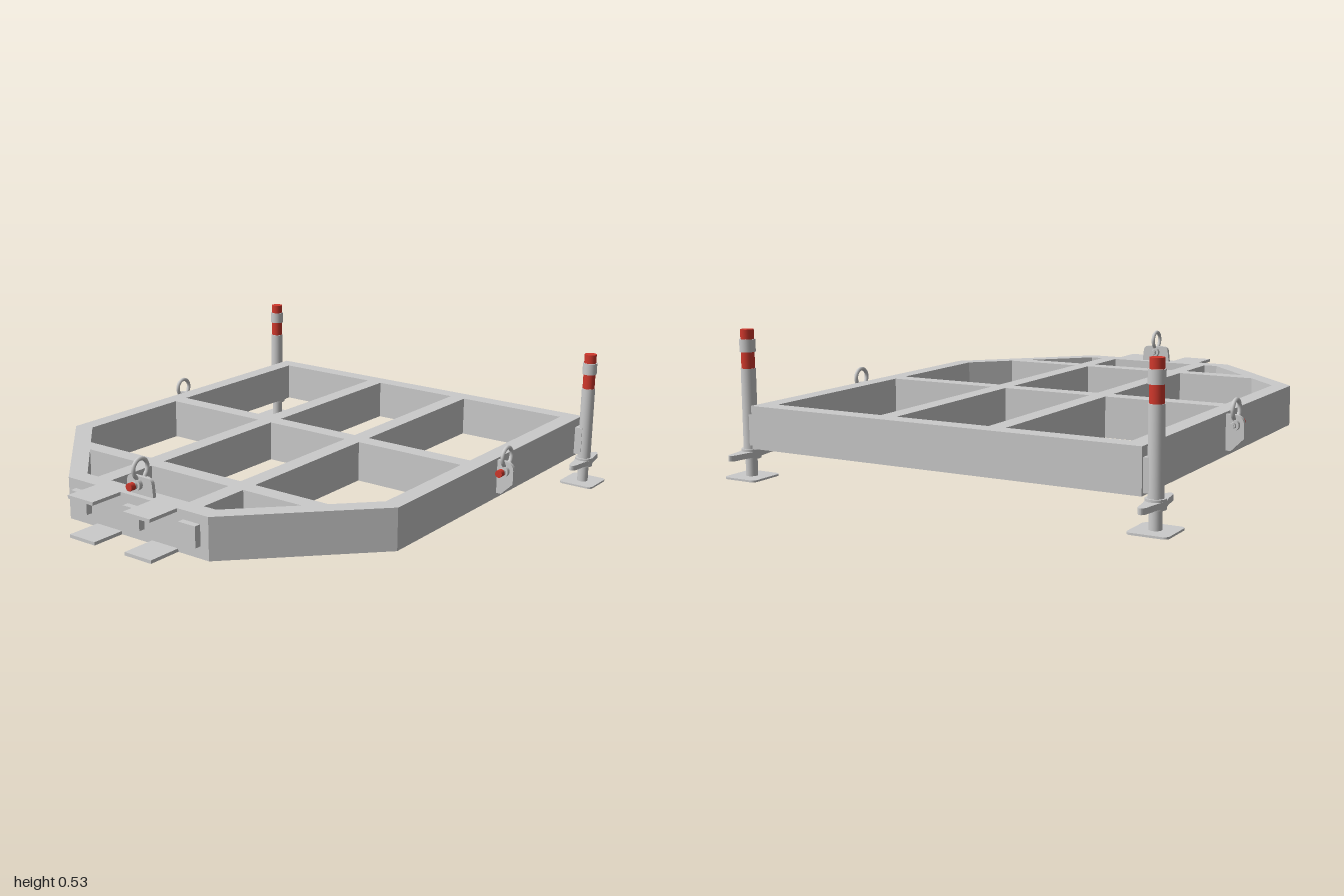
import * as THREE from 'three';

const grey = new THREE.MeshStandardMaterial({ color: 0xcccccc });
const red = new THREE.MeshStandardMaterial({ color: 0xd0382c });

function add(parent, name, geometry, x = 0, y = 0, z = 0, material = grey) {
  const mesh = new THREE.Mesh(geometry, material);
  mesh.name = name;
  mesh.position.set(x, y, z);
  parent.add(mesh);
  return mesh;
}

const cyl = (r, h, sides = 24) => new THREE.CylinderGeometry(r, r, h, sides);
const points = (list) => list.map(([x, y]) => new THREE.Vector2(x, y));

// Extrudes a plan shape (x, z) upwards from y = 0
function slab(shape, height) {
  const g = new THREE.ExtrudeGeometry(shape, { depth: height, bevelEnabled: false, curveSegments: 8 });
  return g.rotateX(Math.PI / 2).translate(0, height, 0);
}

function roundedSquare(s, r) {
  const shape = new THREE.Shape();
  shape.absarc(s - r, s - r, r, 0, Math.PI / 2);
  shape.absarc(r - s, s - r, r, Math.PI / 2, Math.PI);
  shape.absarc(r - s, r - s, r, Math.PI, Math.PI * 1.5);
  shape.absarc(s - r, r - s, r, Math.PI * 1.5, Math.PI * 2);
  return shape;
}

// Outer rails and cross members as one plate with nine openings
function frameGeometry() {
  const shape = new THREE.Shape(points([
    [-0.755, -0.918], [0.755, -0.918], [0.755, 0.425], [0.322, 0.87], [-0.322, 0.87], [-0.755, 0.425],
  ]));
  const hole = (list) => shape.holes.push(new THREE.Path(points(list)));
  for (const [z0, z1] of [[-0.852, -0.145], [-0.08, 0.538], [0.602, 0.803]]) {
    hole([[-0.18, z0], [-0.18, z1], [0.18, z1], [0.18, z0]]);
  }
  for (const s of [-1, 1]) {
    const cell = (list) => hole(list.map(([x, z]) => [s * x, z]));
    cell([[0.245, -0.852], [0.69, -0.852], [0.69, -0.145], [0.245, -0.145]]);
    cell([[0.245, -0.08], [0.69, -0.08], [0.69, 0.4], [0.556, 0.538], [0.245, 0.538]]);
    cell([[0.245, 0.602], [0.494, 0.602], [0.298, 0.803], [0.245, 0.803]]);
  }
  return slab(shape, 0.153);
}

// Shackle with its pin at the origin, pin along z and bow upwards
function shackle() {
  const g = new THREE.Group();
  g.name = 'shackle';
  const path = [new THREE.Vector3(0, 0, -0.019), new THREE.Vector3(0, 0.02, -0.02)];
  for (let i = 0; i <= 8; i++) {
    const a = (-0.15 + (1.3 * i) / 8) * Math.PI;
    path.push(new THREE.Vector3(0, 0.052 + 0.034 * Math.sin(a), -0.034 * Math.cos(a)));
  }
  path.push(new THREE.Vector3(0, 0.02, 0.02), new THREE.Vector3(0, 0, 0.019));
  add(g, 'bow', new THREE.TubeGeometry(new THREE.CatmullRomCurve3(path), 48, 0.0075, 10));
  for (const s of [-1, 1]) {
    add(g, 'eye', cyl(0.02, 0.015, 20).rotateX(Math.PI / 2), 0, 0, s * 0.019);
  }
  add(g, 'pin', cyl(0.009, 0.09, 16).rotateX(Math.PI / 2), 0, 0, 0.002);
  add(g, 'pinCollar', cyl(0.014, 0.008, 16).rotateX(Math.PI / 2), 0, 0, 0.034);
  add(g, 'pinNut', cyl(0.013, 0.012, 6).rotateX(Math.PI / 2), 0, 0, -0.034);
  add(g, 'pinHead', cyl(0.014, 0.02, 16).rotateX(Math.PI / 2), 0, 0, 0.048, red);
  return g;
}

function lugPlate(shape) {
  return new THREE.ExtrudeGeometry(shape, { depth: 0.014, bevelEnabled: false }).translate(0, 0, -0.007);
}

// Supporting leg standing on its base plate at the origin
function leg() {
  const g = new THREE.Group();
  g.name = 'leg';
  add(g, 'basePlate', slab(roundedSquare(0.07, 0.018), 0.007));
  add(g, 'spindle', cyl(0.021, 0.12), 0, 0.065, 0);
  add(g, 'outerTube', cyl(0.026, 0.297), 0, 0.2435, 0);
  add(g, 'redTube', cyl(0.0235, 0.138), 0, 0.461, 0, red);
  add(g, 'topCollar', cyl(0.028, 0.045), 0, 0.473, 0);
  add(g, 'nutCollar', cyl(0.034, 0.034, 20), 0, 0.088, 0);
  // Wing nut with two tapering handles
  const wing = new THREE.Shape();
  wing.moveTo(-0.034, 0);
  wing.lineTo(-0.022, 0.045);
  wing.lineTo(-0.014, 0.098);
  wing.quadraticCurveTo(0, 0.13, 0.014, 0.098);
  wing.lineTo(0.022, 0.045);
  wing.lineTo(0.034, 0);
  for (const turn of [0, Math.PI]) {
    add(g, 'nutWing', slab(wing, 0.02), 0, 0.077, 0).rotation.y = turn;
  }
  return g;
}

export function createModel() {
  const model = new THREE.Group();
  model.name = 'supportFrame';
  add(model, 'frame', frameGeometry(), 0, 0.111, 0);

  // Front centre lug
  const front = new THREE.Group();
  front.name = 'frontLug';
  front.position.set(0, 0.264, 0.842);
  const frontShape = new THREE.Shape(points([[-0.062, 0], [0.062, 0], [0.057, 0.045]]));
  frontShape.quadraticCurveTo(0.054, 0.064, 0.035, 0.064);
  frontShape.lineTo(-0.035, 0.064);
  frontShape.quadraticCurveTo(-0.054, 0.064, -0.057, 0.045);
  add(front, 'lugPlate', lugPlate(frontShape));
  const frontShackle = shackle();
  frontShackle.position.y = 0.039;
  front.add(frontShackle);
  model.add(front);

  add(model, 'frontBlock', new THREE.BoxGeometry(0.074, 0.076, 0.03), 0, 0.193, 0.88);

  for (const s of [-1, 1]) {
    // Fork plates and square blocks on the front rail
    for (const y of [0.258, 0.117]) {
      add(model, 'forkPlate', new THREE.BoxGeometry(0.118, 0.012, 0.14), s * 0.129, y, 0.93);
    }
    add(model, 'frontBlock', new THREE.BoxGeometry(0.074, 0.076, 0.03), s * 0.25, 0.193, 0.88);

    // Rear leg with its bracket
    const support = leg();
    support.position.set(s * 0.788, 0, -0.888);
    model.add(support);
    add(model, 'legBracket', new THREE.BoxGeometry(0.04, 0.11, 0.05), s * 0.765, 0.175, -0.885);

    // Side lug
    const side = new THREE.Group();
    side.name = 'sideLug';
    side.position.set(s * 0.755, 0, -0.237);
    const shape = new THREE.Shape();
    shape.moveTo(-0.005, 0.13);
    shape.lineTo(0.02, 0.13);
    shape.lineTo(0.066, 0.175);
    shape.lineTo(0.066, 0.225);
    shape.absarc(0.034, 0.225, 0.032, 0, Math.PI / 2);
    shape.lineTo(-0.005, 0.257);
    add(side, 'lugPlate', lugPlate(shape)).rotation.y = s < 0 ? Math.PI : 0;
    const sideShackle = shackle();
    sideShackle.position.set(s * 0.034, 0.223, 0);
    side.add(sideShackle);
    model.add(side);
  }
  return model;
}
